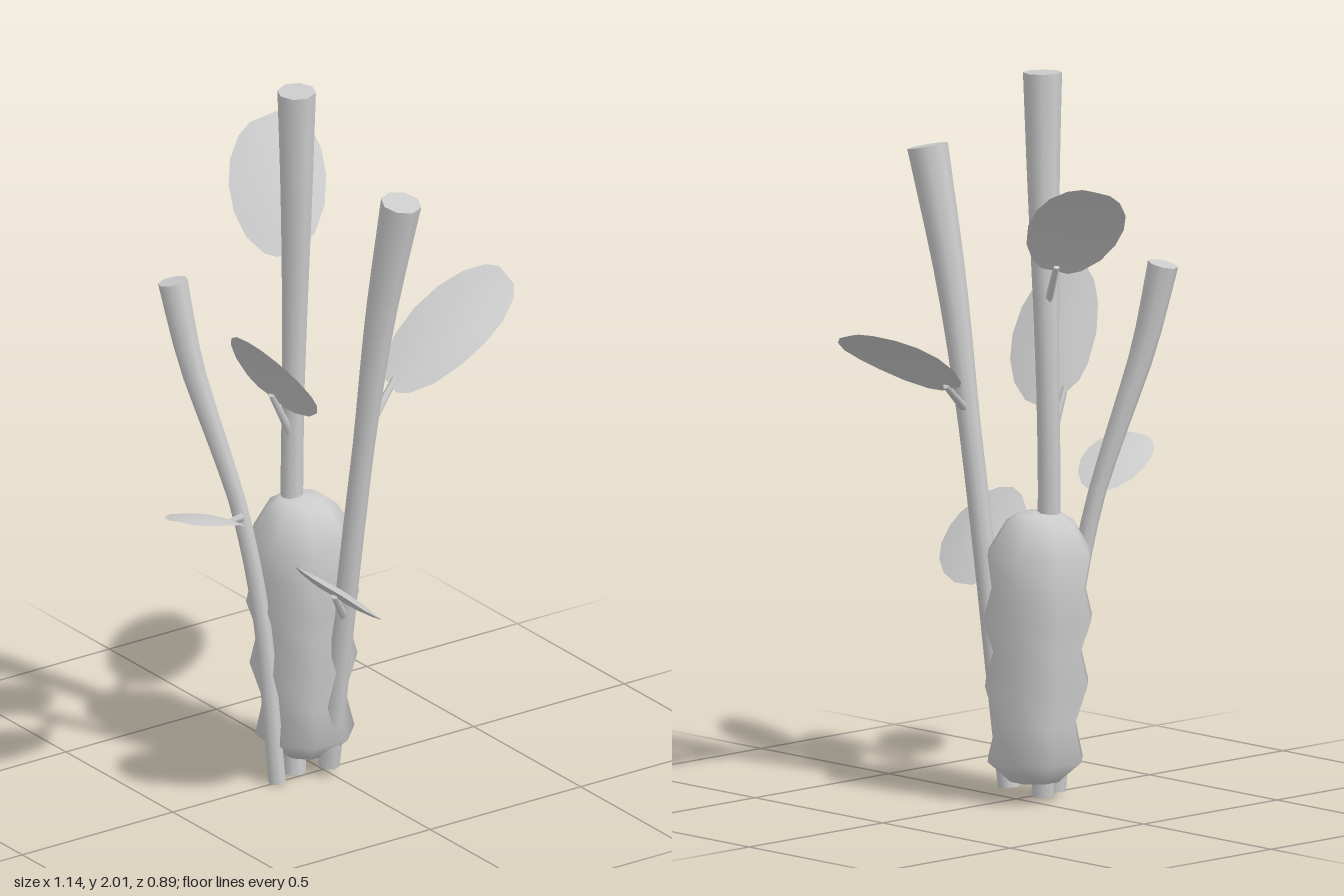
import * as THREE from 'three';

const V = (p) => new THREE.Vector3(...p);

function mesh(name, geometry, side = THREE.FrontSide) {
  const m = new THREE.Mesh(geometry, new THREE.MeshStandardMaterial({ color: 0xcccccc, side }));
  m.name = name;
  return m;
}

// Closed polygon fan over one ring of a tube
function capGeometry(ring, flip) {
  const pts = flip ? [...ring].reverse() : ring;
  const pos = [];
  for (let i = 1; i < pts.length - 1; i++) {
    for (const p of [pts[0], pts[i], pts[i + 1]]) pos.push(p.x, p.y, p.z);
  }
  const g = new THREE.BufferGeometry();
  g.setAttribute('position', new THREE.Float32BufferAttribute(pos, 3));
  g.computeVertexNormals();
  return g;
}

// Bent stalk with a radius that changes along its length
function stalk(name, points, radiusAt, segments = 16, sides = 8) {
  const group = new THREE.Group();
  group.name = name;
  const curve = new THREE.CatmullRomCurve3(points.map(V));
  const g = new THREE.TubeGeometry(curve, segments, 1, sides);
  const pos = g.attributes.position;
  const v = new THREE.Vector3();
  const rings = [];
  for (let i = 0; i < pos.count; i++) {
    const row = Math.floor(i / (sides + 1));
    const t = row / segments;
    const c = curve.getPointAt(t);
    v.fromBufferAttribute(pos, i).sub(c).multiplyScalar(radiusAt(t)).add(c);
    pos.setXYZ(i, v.x, v.y, v.z);
    if (i % (sides + 1) < sides) (rings[row] ??= []).push(v.clone());
  }
  group.add(mesh(name + 'Side', g));
  // Caps are oriented away from the tube
  [[0, -1], [segments, 1]].forEach(([row, sign]) => {
    const r = rings[row];
    const out = curve.getTangentAt(row / segments).multiplyScalar(sign);
    const n = r[1].clone().sub(r[0]).cross(r[2].clone().sub(r[0]));
    group.add(mesh(name + (sign > 0 ? 'Top' : 'Bottom'), capGeometry(r, n.dot(out) < 0)));
  });
  return group;
}

// Half width of a blade along its length: [position, width]
const OUTLINE = [[0, 0.3], [0.06, 0.55], [0.22, 0.85], [0.42, 1], [0.62, 1], [0.8, 0.87], [0.94, 0.6], [1, 0.32]];

// Blunt oval blade, lightly cupped, on a thin stem
function leaf(name, { from, base, tip, half }) {
  const group = new THREE.Group();
  group.name = name;
  const a = V(base), b = V(tip), w = V(half);
  const axis = b.clone().sub(a);
  const up = axis.clone().cross(w).normalize();
  if (up.y < 0) up.negate();
  const across = [-1, -0.5, 0, 0.5, 1];
  const pos = [], index = [];
  OUTLINE.forEach(([t, width], i) => {
    across.forEach((s, j) => {
      const lift = 0.02 * Math.sin(Math.PI * t) - 0.012 * (s * width) ** 2;
      const p = a.clone().addScaledVector(axis, t).addScaledVector(w, s * width).addScaledVector(up, lift);
      pos.push(p.x, p.y, p.z);
      if (i && j) {
        const k = i * 5 + j;
        index.push(k - 6, k - 5, k - 1, k - 5, k, k - 1);
      }
    });
  });
  const g = new THREE.BufferGeometry();
  g.setAttribute('position', new THREE.Float32BufferAttribute(pos, 3));
  g.setIndex(index);
  g.computeVertexNormals();
  group.add(mesh(name + 'Blade', g, THREE.DoubleSide));
  const end = a.clone().addScaledVector(axis, 0.05);
  group.add(stalk(name + 'Stem', [from, end.toArray()], (t) => 0.013 - 0.004 * t, 2, 5));
  return group;
}

// Lumpy eight-sided body, leaning slightly back
function body() {
  const profile = [[0, 0.04], [0.07, 0.05], [0.138, 0.11], [0.115, 0.21], [0.15, 0.32], [0.127, 0.41],
    [0.157, 0.5], [0.135, 0.585], [0.15, 0.68], [0.098, 0.765], [0.06, 0.79], [0, 0.797]];
  const g = new THREE.LatheGeometry(profile.map(([r, y]) => new THREE.Vector2(r, y)), 8, Math.PI / 8);
  const pos = g.attributes.position;
  for (let i = 0; i < pos.count; i++) {
    const y = pos.getY(i);
    pos.setXYZ(i, pos.getX(i) - 0.033, y, pos.getZ(i) - 0.037 - 0.028 * y);
  }
  return mesh('body', g);
}

export function createModel() {
  const model = new THREE.Group();
  model.name = 'leafyStalks';
  model.add(body());

  // Stalks flare towards their cut tops
  const flare = (r, top) => (t) => r + (top - r) * Math.max(0, (t - 0.55) / 0.45) ** 1.3;
  model.add(stalk('centreStalk', [[-0.077, 0, -0.025], [-0.06, 0.4, -0.055], [-0.046, 0.8, -0.082],
    [-0.04, 1.3, -0.078], [-0.05, 1.7, -0.055], [-0.058, 2, -0.043]], flare(0.031, 0.053)));
  model.add(stalk('frontStalk', [[-0.005, 0.025, 0.033], [0, 0.35, 0.078], [0.005, 0.6, 0.11],
    [0.02, 1, 0.16], [0.033, 1.4, 0.22], [0.048, 1.765, 0.297]], flare(0.03, 0.056)));
  model.add(stalk('sideStalk', [[-0.153, 0, 0], [-0.187, 0.5, -0.03], [-0.23, 0.8, -0.068],
    [-0.275, 1, -0.11], [-0.325, 1.22, -0.16], [-0.353, 1.455, -0.207]], flare(0.024, 0.042)));

  const leaves = [
    ['topLeaf', { from: [-0.04, 1.36, -0.08], base: [0, 1.475, -0.15], tip: [0.115, 1.745, -0.435], half: [0.125, 0.038, 0.04] }],
    ['leftLeaf', { from: [0.025, 1.05, 0.17], base: [0.148, 1.135, 0.1], tip: [0.563, 1.34, 0.065], half: [0.015, 0.035, -0.13] }],
    ['rightLeaf', { from: [-0.225, 0.78, -0.06], base: [-0.31, 0.81, 0.01], tip: [-0.565, 0.915, 0.125], half: [0.035, 0.005, 0.087] }],
    ['lowLeaf', { from: [0, 0.48, 0.1], base: [-0.085, 0.59, 0.17], tip: [-0.245, 0.725, 0.425], half: [0.102, -0.083, 0.055] }],
    ['middleLeaf', { from: [-0.045, 0.96, -0.08], base: [-0.13, 1.11, -0.06], tip: [-0.32, 1.365, 0.22], half: [0.1, -0.105, 0.06] }],
  ];
  for (const [name, spec] of leaves) model.add(leaf(name, spec));
  return model;
}
